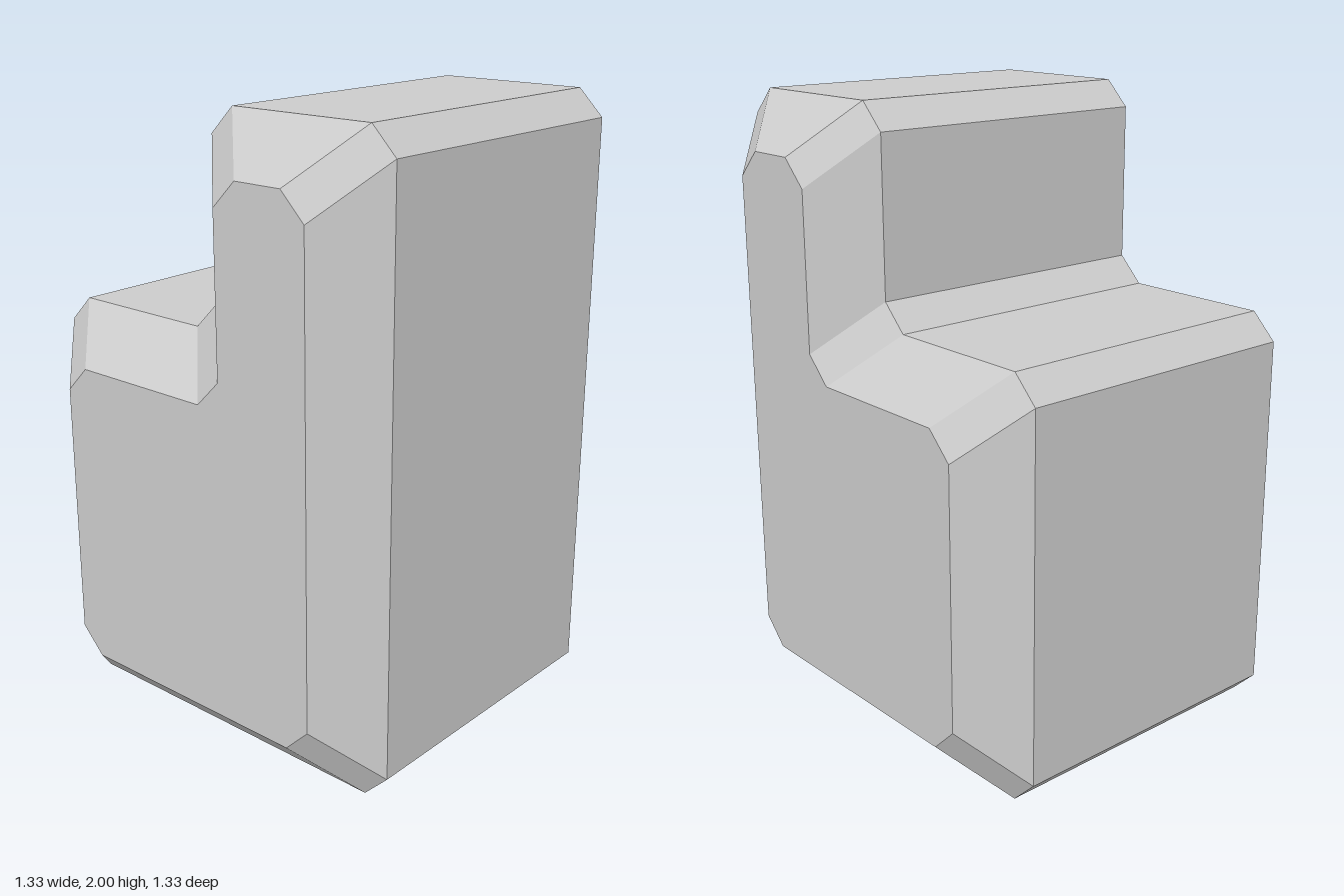
import * as THREE from 'three';

const U = 1 / 6; // chamfer depth on the front and back rims
const CUT = U / 2; // size of the cut on each profile corner

// Stepped profile, counter-clockwise from the front, shrunk by d, every corner cut
function profile(d) {
  const w = 4 * U;
  const sharp = [
    [-w + d, d], [w - d, d], [w - d, 2 - d],
    [d, 2 - d], [d, 8 * U - d], [-w + d, 8 * U - d],
  ].map(([x, y]) => new THREE.Vector2(x, y));
  const n = sharp.length;
  return sharp.flatMap((p, i) =>
    [sharp[(i + n - 1) % n], sharp[(i + 1) % n]].map((q) =>
      q.clone().sub(p).setLength(CUT).add(p)));
}

// Solid from profile loops ordered front to back, capped at both ends
function loftGeometry(loops) {
  const n = loops[0].points.length;
  const positions = loops.flatMap(({ points, z }) => points.flatMap((p) => [p.x, p.y, z]));
  const index = [];
  for (let k = 0; k < loops.length - 1; k++) {
    for (let i = 0; i < n; i++) {
      const a = k * n + i, b = k * n + (i + 1) % n;
      index.push(a, a + n, b + n, a, b + n, b);
    }
  }
  const last = (loops.length - 1) * n;
  for (const [a, b, c] of THREE.ShapeUtils.triangulateShape(loops[0].points, [])) {
    index.push(a, b, c, last + c, last + b, last + a);
  }
  const geometry = new THREE.BufferGeometry();
  geometry.setAttribute('position', new THREE.Float32BufferAttribute(positions, 3));
  geometry.setIndex(index);
  const flat = geometry.toNonIndexed();
  flat.computeVertexNormals();
  return flat;
}

export function createModel() {
  const group = new THREE.Group();
  group.name = 'steppedBlock';
  const outer = profile(0), inner = profile(U);
  const material = new THREE.MeshStandardMaterial({ color: 0xcccccc, flatShading: true });
  // Full-size middle with chamfered front and back
  const body = new THREE.Mesh(loftGeometry([
    { points: inner, z: 4 * U },
    { points: outer, z: 3 * U },
    { points: outer, z: -3 * U },
    { points: inner, z: -4 * U },
  ]), material);
  body.name = 'chamferedBody';
  group.add(body);
  return group;
}
